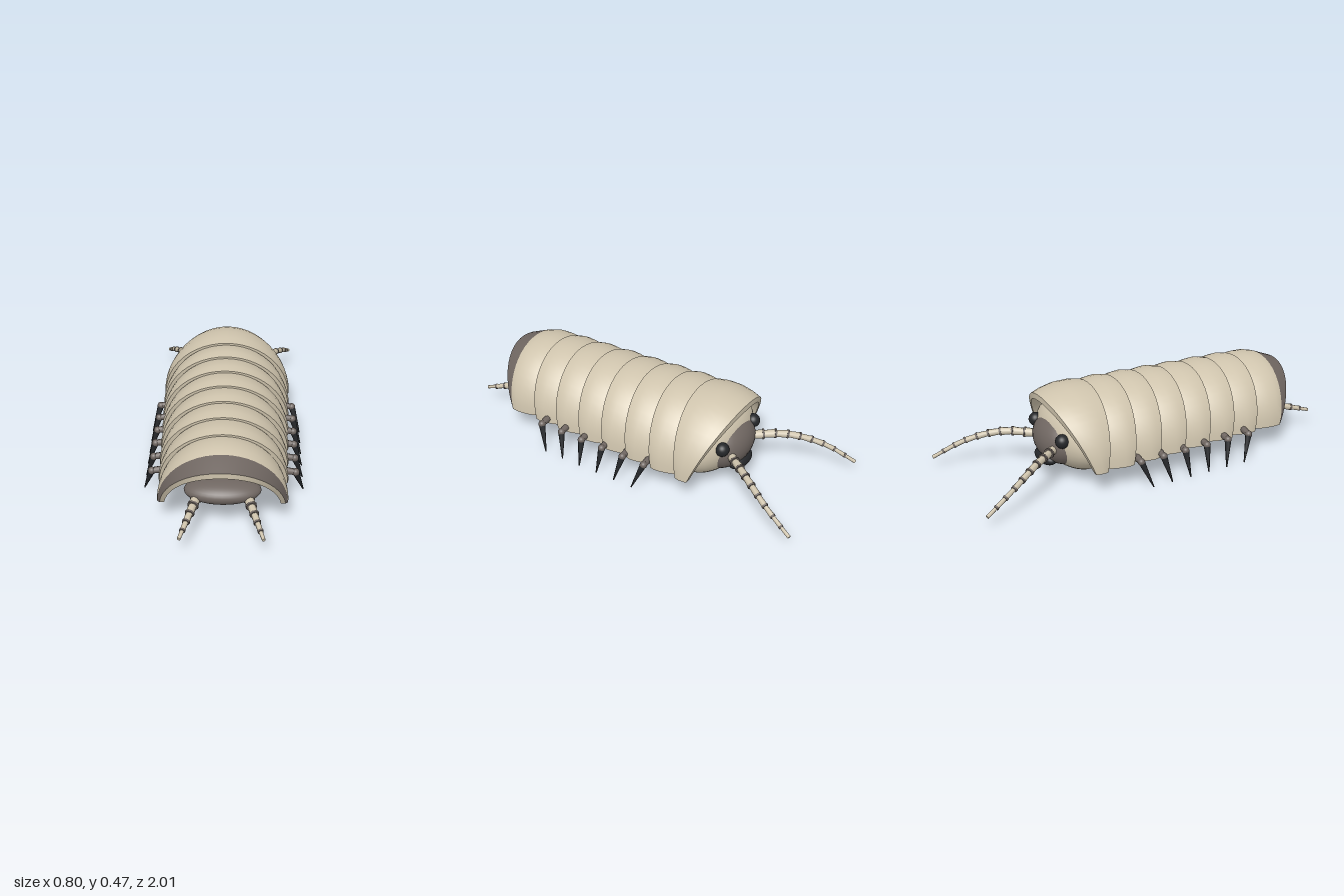
import * as THREE from 'three';
import { toCreasedNormals } from 'three/addons/utils/BufferGeometryUtils.js';

const mat = (name, color) => Object.assign(new THREE.MeshStandardMaterial({ color }), { name });
const V = (x, y, z) => new THREE.Vector3(x, y, z);
const lerp = THREE.MathUtils.lerp;

export function createModel() {
  const shellMat = mat('sand shell', 0xcfc4ad);
  const greyMat = mat('warm grey', 0x6f6661);
  const blackMat = mat('near black', 0x25272a);
  const model = new THREE.Group();
  model.name = 'armouredCrawler';

  function add(parent, name, geometry, material) {
    const mesh = new THREE.Mesh(geometry, material);
    mesh.name = name;
    parent.add(mesh);
    return mesh;
  }

  function ellipsoid(parent, name, pos, radii, material) {
    const mesh = add(parent, name, new THREE.SphereGeometry(1, 32, 20), material);
    mesh.position.set(...pos);
    mesh.scale.set(...radii);
    return mesh;
  }

  // Tapered rod from a to b
  function link(parent, name, a, b, ra, rb, material, sides = 8) {
    const mesh = add(parent, name, new THREE.CylinderGeometry(rb, ra, a.distanceTo(b), sides), material);
    mesh.position.copy(a).lerp(b, 0.5);
    mesh.quaternion.setFromUnitVectors(V(0, 1, 0), b.clone().sub(a).normalize());
    return mesh;
  }

  // Arched plate with thickness. Station: [z at the foot, extra z at the top, scale at foot, scale at top]
  function archPlate(name, rx, ry, stations, darkBand = -1) {
    const steps = 24, thick = 0.09, lists = [[], []];
    const outer = stations;
    const inner = stations.map(([z, k, s, t]) => [z, k, s - thick * 0.8, t - thick]);
    const point = ([z, k, s, t], i) => {
      const a = Math.PI * i / steps, h = Math.sin(a), f = lerp(s, t, h);
      return [rx * f * Math.cos(a), 0.117 + ry * f * h, z + k * h];
    };
    const quad = (list, a, b, c, d) => list.push(...a, ...b, ...c, ...a, ...c, ...d);
    const loop = [...outer, ...inner.slice().reverse()];
    loop.forEach((p, j) => {
      const q = loop[(j + 1) % loop.length];
      for (let i = 0; i < steps; i++)
        quad(lists[j === darkBand ? 1 : 0], point(p, i), point(p, i + 1), point(q, i + 1), point(q, i));
    });
    // Feet of the arch
    for (let j = 0; j < outer.length - 1; j++) {
      const ring = i => [outer[j], outer[j + 1], inner[j + 1], inner[j]].map(s => point(s, i));
      quad(lists[0], ...ring(0));
      quad(lists[0], ...ring(steps).reverse());
    }
    const g = new THREE.BufferGeometry();
    g.setAttribute('position', new THREE.Float32BufferAttribute(lists[0].concat(lists[1]), 3));
    g.addGroup(0, lists[0].length / 3, 0);
    if (lists[1].length) g.addGroup(lists[0].length / 3, lists[1].length / 3, 1);
    add(model, name, toCreasedNormals(g, 0.42), [shellMat, greyMat]);
  }

  // Eight overlapping back plates, shrinking toward the tail
  for (let i = 0; i < 8; i++) {
    const rx = lerp(0.345, 0.314, i / 7), ry = lerp(0.352, 0.315, i / 7);
    const z = -0.435 + 0.15 * i;
    const front = [[z - 0.07, 0.02, 0.88, 0.9], [z, 0.015, 0.965, 0.965], [z + 0.04, 0.03, 0.99, 0.99]];
    if (i === 0) {
      archPlate('collarPlate', rx, ry, [
        [-0.41, -0.13, 0.985, 0.9], [-0.395, -0.09, 0.995, 0.955],
        [-0.375, -0.03, 1, 1], [-0.36, 0.03, 1, 1], [-0.343, 0.068, 0.985, 0.975]]);
    } else if (i === 7) {
      archPlate('tailPlate', rx, ry, [...front,
        [z + 0.075, 0.05, 1, 0.985], [z + 0.107, 0.06, 0.99, 0.95], [z + 0.117, 0.148, 0.955, 0.825]], 4);
    } else {
      archPlate('backPlate' + i, rx, ry, [...front,
        [z + 0.065, 0.05, 1, 1], [z + 0.092, 0.068, 0.985, 0.975]]);
    }
  }

  // Belly lobes
  for (let i = 0; i < 7; i++)
    ellipsoid(model, 'bellyLobe' + i, [0, 0.172, -0.2 + 0.15 * i],
      [lerp(0.26, 0.185, i / 6), 0.057, 0.1], greyMat);

  // Head, face and mouth
  ellipsoid(model, 'head', [0, 0.21, -0.36], [0.29, 0.18, 0.17], shellMat);
  ellipsoid(model, 'face', [0, 0.19, -0.445], [0.19, 0.125, 0.122], greyMat);
  ellipsoid(model, 'mouth', [0, 0.105, -0.523], [0.09, 0.037, 0.047], blackMat);

  // Jointed feeler following a curve, with a dark ring at each joint
  function feeler(name, points, count, r0, r1) {
    const group = new THREE.Group();
    group.name = name;
    const pts = new THREE.CatmullRomCurve3(points).getSpacedPoints(count);
    for (let i = 0; i < count; i++) {
      const ra = lerp(r0, r1, i / count), rb = lerp(r0, r1, (i + 1) / count);
      link(group, 'joint', pts[i], pts[i + 1], ra * 0.85, rb * 1.1, shellMat);
      if (i === 0) continue;
      const half = pts[i + 1].clone().sub(pts[i]).setLength(0.005);
      link(group, 'jointRing', pts[i].clone().sub(half), pts[i].clone().add(half),
        ra * 1.25, ra * 1.2, greyMat);
    }
    model.add(group);
  }

  for (const [side, s] of [['left', 1], ['right', -1]]) {
    ellipsoid(model, side + 'Eye', [s * 0.155, 0.245, -0.502], [0.036, 0.036, 0.036], blackMat);
    feeler(side + 'Antenna', [V(s * 0.105, 0.19, -0.52), V(s * 0.215, 0.19, -0.67),
      V(s * 0.31, 0.137, -0.84), V(s * 0.36, 0.058, -1)], 9, 0.024, 0.009);
    feeler(side + 'TailFeeler', [V(s * 0.11, 0.165, 0.7), V(s * 0.15, 0.137, 0.85),
      V(s * 0.194, 0.098, 1)], 6, 0.03, 0.008);

    // Six legs whose claws lean toward the middle of the body
    for (let i = 0; i < 6; i++) {
      const leg = new THREE.Group();
      leg.name = side + 'Leg' + i;
      const kneeZ = -0.165 + 0.13 * i, tipZ = -0.117 + 0.11 * i;
      const knee = V(s * 0.355, 0.135, kneeZ);
      link(leg, 'thigh', V(s * 0.15, 0.165, kneeZ), V(s * 0.27, 0.148, kneeZ), 0.026, 0.022, greyMat);
      link(leg, 'shin', V(s * 0.27, 0.148, kneeZ), knee, 0.02, 0.016, greyMat);
      ellipsoid(leg, 'knee', knee.toArray(), [0.019, 0.019, 0.019], greyMat);
      link(leg, 'claw', knee, V(s * 0.398, 0.001, tipZ), 0.018, 0.003, blackMat);
      model.add(leg);
    }
  }
  return model;
}
